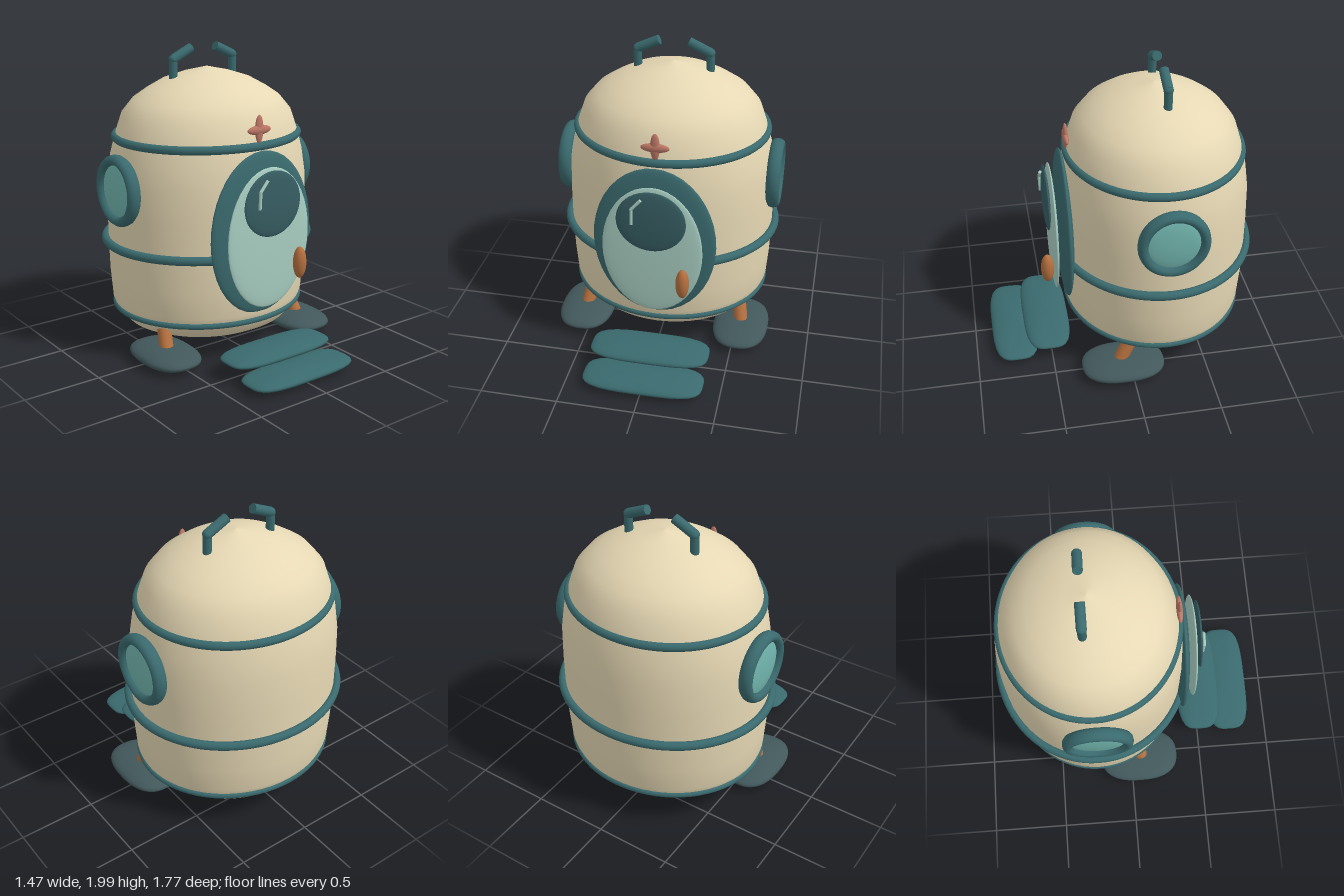
import * as THREE from 'three';

const CZ = -0.23;   // body axis
const SQUASH = 0.9; // body is slightly flattened front to back

const mat = (color) => new THREE.MeshStandardMaterial({ color });
const CREAM = mat(0xe6d8b4), TEAL = mat(0x3a6a6e), DARK = mat(0x375e63), FOOT = mat(0x42585b);
const GLASS = mat(0xa9cfc3), PANE = mat(0x72b5ae), COPPER = mat(0xb5703f), ROSE = mat(0xbd7766);

export function createModel() {
  const root = new THREE.Group();

  const add = (name, geometry, material, x = 0, y = 0, z = 0) => {
    const mesh = new THREE.Mesh(geometry, material);
    mesh.name = name;
    mesh.position.set(x, y, z);
    root.add(mesh);
    return mesh;
  };

  const ellipsoid = (name, material, [x, y, z], [rx, ry, rz]) => {
    const mesh = add(name, new THREE.SphereGeometry(1, 32, 20), material, x, y, z);
    mesh.scale.set(rx, ry, rz);
    return mesh;
  };

  // Lens-shaped pad whose plan is a rounded rectangle of the given squareness
  const pad = (name, material, [x, y, z], [rx, ry, rz], n) => {
    const g = new THREE.SphereGeometry(1, 40, 20);
    const p = g.attributes.position;
    for (let i = 0; i < p.count; i++) {
      const px = p.getX(i), pz = p.getZ(i), r = Math.hypot(px, pz);
      if (r > 1e-6) {
        const k = (Math.abs(px / r) ** n + Math.abs(pz / r) ** n) ** (-1 / n);
        p.setX(i, px * k);
        p.setZ(i, pz * k);
      }
    }
    g.scale(rx, ry, rz);
    g.computeVertexNormals();
    return add(name, g, material, x, y, z);
  };

  // Straight rod between two points
  const rod = (name, a, b, r, material) => {
    const from = new THREE.Vector3(...a), to = new THREE.Vector3(...b);
    const dir = to.clone().sub(from);
    const mesh = add(name, new THREE.CylinderGeometry(r, r, dir.length(), 14), material);
    mesh.position.copy(from).addScaledVector(dir, 0.5);
    mesh.quaternion.setFromUnitVectors(new THREE.Vector3(0, 1, 0), dir.normalize());
    return mesh;
  };

  // Barrel body with domed top and shallow pointed underside
  const profile = [
    [0, 0.1], [0.49, 0.142], [0.57, 0.18], [0.635, 0.25], [0.665, 0.33], [0.678, 0.5], [0.684, 0.7],
    [0.684, 0.95], [0.678, 1.15], [0.655, 1.3], [0.62, 1.43], [0.575, 1.56], [0.5, 1.65],
    [0.41, 1.71], [0.3, 1.77], [0.16, 1.815], [0, 1.85],
  ].map(([r, y]) => new THREE.Vector2(r, y));
  add('body', new THREE.LatheGeometry(profile, 64), CREAM, 0, 0, CZ).scale.z = SQUASH;

  // Hoops round the body
  for (const [name, r, y, t] of [['topHoop', 0.62, 1.412, 0.028], ['middleHoop', 0.702, 0.732, 0.029], ['bottomHoop', 0.647, 0.278, 0.02]]) {
    const g = new THREE.TorusGeometry(r, t, 12, 72).rotateX(Math.PI / 2);
    add(name, g, TEAL, 0, y, CZ).scale.z = SQUASH;
  }

  // Front hatch
  ellipsoid('hatchFrame', TEAL, [0, 0.86, 0.36], [0.395, 0.53, 0.05]);
  ellipsoid('hatchGlass', GLASS, [0, 0.845, 0.435], [0.32, 0.455, 0.026]);
  ellipsoid('hatchPorthole', DARK, [0, 1.075, 0.468], [0.22, 0.21, 0.022]);
  ellipsoid('hatchHandle', COPPER, [0.205, 0.66, 0.495], [0.043, 0.105, 0.043]);
  const bend = [-0.115, 1.17, 0.493];
  rod('glintLower', [-0.118, 1.06, 0.49], bend, 0.01, GLASS);
  rod('glintUpper', bend, [-0.058, 1.235, 0.49], 0.01, GLASS);

  // Small cross ornament above the hatch
  ellipsoid('crossUpright', ROSE, [0, 1.52, 0.327], [0.03, 0.09, 0.017]);
  ellipsoid('crossBar', ROSE, [0, 1.515, 0.327], [0.09, 0.03, 0.02]);

  // Mirrored parts
  for (const [side, s] of [['left', 1], ['right', -1]]) {
    const ring = new THREE.TorusGeometry(0.197, 0.034, 12, 40).rotateY(Math.PI / 2);
    add(side + 'WindowFrame', ring, TEAL, s * 0.69, 1.118, CZ + 0.005).scale.set(1.32, 1, 0.97);
    ellipsoid(side + 'WindowPane', PANE, [s * 0.685, 1.118, CZ + 0.005], [0.035, 0.19, 0.185]);

    const elbow = [s * 0.235, 1.905, -0.267];
    rod(side + 'AntennaStem', [s * 0.235, 1.74, -0.267], elbow, 0.027, TEAL);
    rod(side + 'AntennaTip', elbow, [s * 0.095, 1.97, -0.267], 0.031, TEAL);
    ellipsoid(side + 'AntennaElbow', TEAL, elbow, [0.029, 0.029, 0.031]);

    rod(side + 'Leg', [s * 0.545, 0.08, 0.085], [s * 0.517, 0.222, 0.01], 0.046, COPPER);
    pad(side + 'Foot', FOOT, [s * 0.54, 0.07, 0.055], [0.185, 0.06, 0.273], 2.5);
  }

  // Steps leading to the hatch
  pad('upperStep', TEAL, [0, 0.127, 0.515], [0.39, 0.047, 0.153], 3.6);
  pad('lowerStep', TEAL, [0, 0.06, 0.733], [0.39, 0.047, 0.153], 3.6);

  return root;
}
